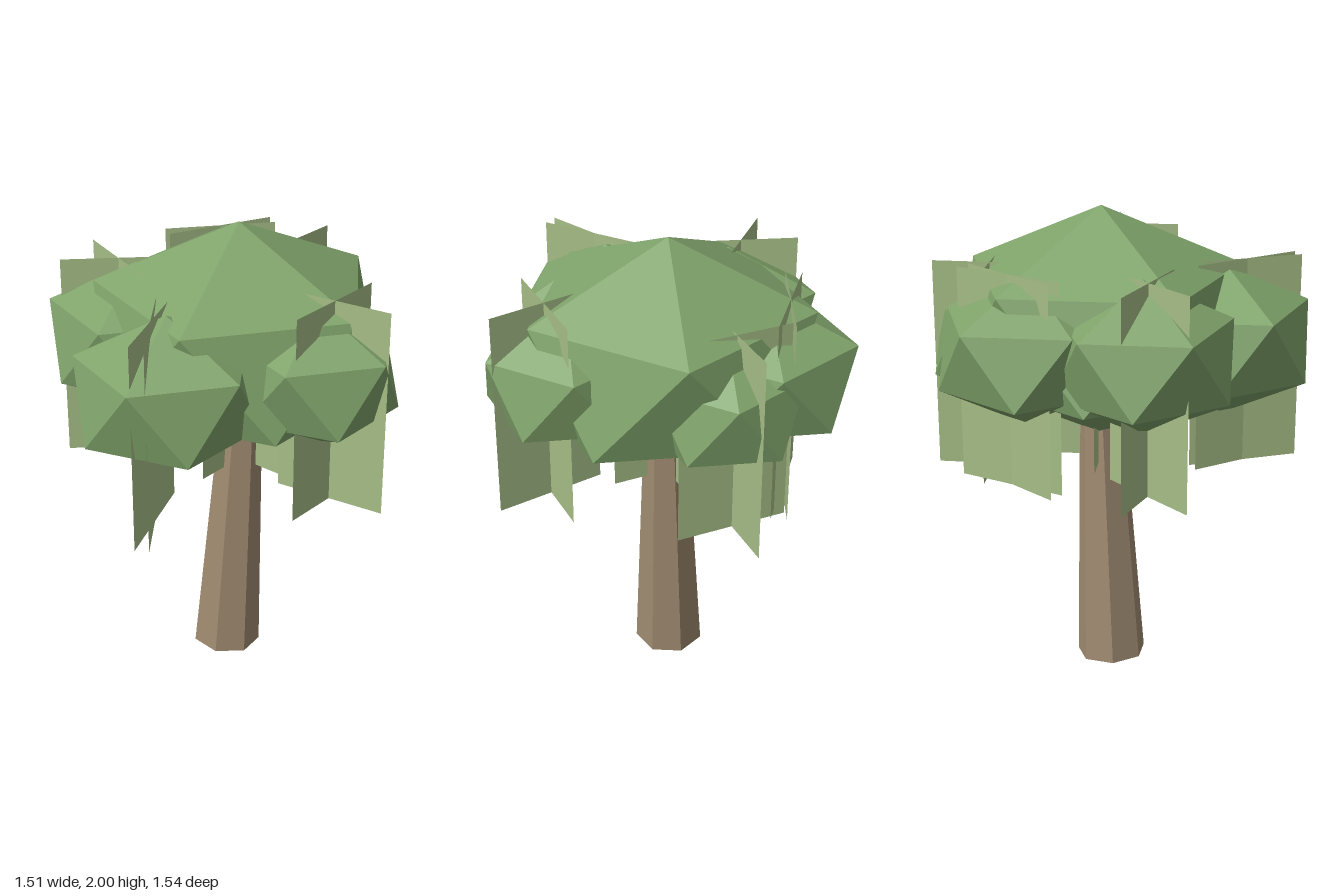
import * as THREE from 'three';

const barkMaterial = new THREE.MeshStandardMaterial({ color: 0x9f8a70, flatShading: true });
const leafMaterial = new THREE.MeshStandardMaterial({ color: 0x7fa36a, flatShading: true });
const cardMaterial = new THREE.MeshStandardMaterial({ color: 0xa5bd86, side: THREE.DoubleSide });

// Icosahedron standing on a corner, with one corner of its upper ring towards +x
function clumpGeometry() {
  const phi = (1 + Math.sqrt(5)) / 2;
  return new THREE.IcosahedronGeometry(1, 0).rotateX(-Math.atan(phi)).rotateY(Math.PI / 2);
}

// Leaf clumps: centre, radius and half height; each has two crossed cards
// given by their centre and their directions (degrees from +x towards +z)
const CLUMPS = [
  { name: 'crown', at: [-0.015, 1.51, -0.075], r: 0.67, h: 0.49, card: [-0.01, 1.36, -0.08], turns: [0, 90] },
  { name: 'frontClump', at: [0.035, 1.44, 0.42], r: 0.415, h: 0.33, card: [0.045, 1.34, 0.52], turns: [53, 67] },
  { name: 'leftClump', at: [0.41, 1.47, -0.04], r: 0.38, h: 0.3, card: [0.5, 1.37, -0.04], turns: [-9, 90] },
  { name: 'rightClump', at: [-0.39, 1.475, 0.13], r: 0.414, h: 0.32, card: [-0.465, 1.36, 0.16], turns: [20, -45] },
  { name: 'backRightClump', at: [-0.325, 1.47, -0.33], r: 0.41, h: 0.315, card: [-0.39, 1.36, -0.4], turns: [-66, -50] },
  { name: 'backClump', at: [-0.085, 1.44, -0.45], r: 0.35, h: 0.29, card: [-0.09, 1.33, -0.525], turns: [1, 91] },
];

function createTrunk() {
  // Seven-sided tapered trunk leaning from its foot into the crown
  const foot = new THREE.Vector3(-0.047, 0.008, -0.033);
  const top = new THREE.Vector3(0.0, 1.3, -0.085);
  const axis = top.clone().sub(foot);
  const length = axis.length();
  const geometry = new THREE.CylinderGeometry(0.085, 0.149, length, 7, 1, false, THREE.MathUtils.degToRad(73));
  geometry.translate(0, length / 2, 0);
  const trunk = new THREE.Mesh(geometry, barkMaterial);
  trunk.name = 'trunk';
  trunk.position.copy(foot);
  trunk.quaternion.setFromUnitVectors(new THREE.Vector3(0, 1, 0), axis.normalize());
  return trunk;
}

export function createModel() {
  const tree = new THREE.Group();
  tree.name = 'tree';
  tree.add(createTrunk());

  const leafShape = clumpGeometry();
  const cardShape = new THREE.PlaneGeometry(0.48, 0.88);

  for (const { name, at, r, h, card, turns } of CLUMPS) {
    const clump = new THREE.Mesh(leafShape, leafMaterial);
    clump.name = name;
    clump.position.set(...at);
    clump.scale.set(r, h, r);
    tree.add(clump);

    // Crossed leaf cards hanging through the clump
    const cards = new THREE.Group();
    cards.name = name + 'LeafCards';
    cards.position.set(...card);
    for (const turn of turns) {
      const leafCard = new THREE.Mesh(cardShape, cardMaterial);
      leafCard.name = 'leafCard';
      leafCard.rotation.y = -THREE.MathUtils.degToRad(turn);
      cards.add(leafCard);
    }
    tree.add(cards);
  }
  return tree;
}
